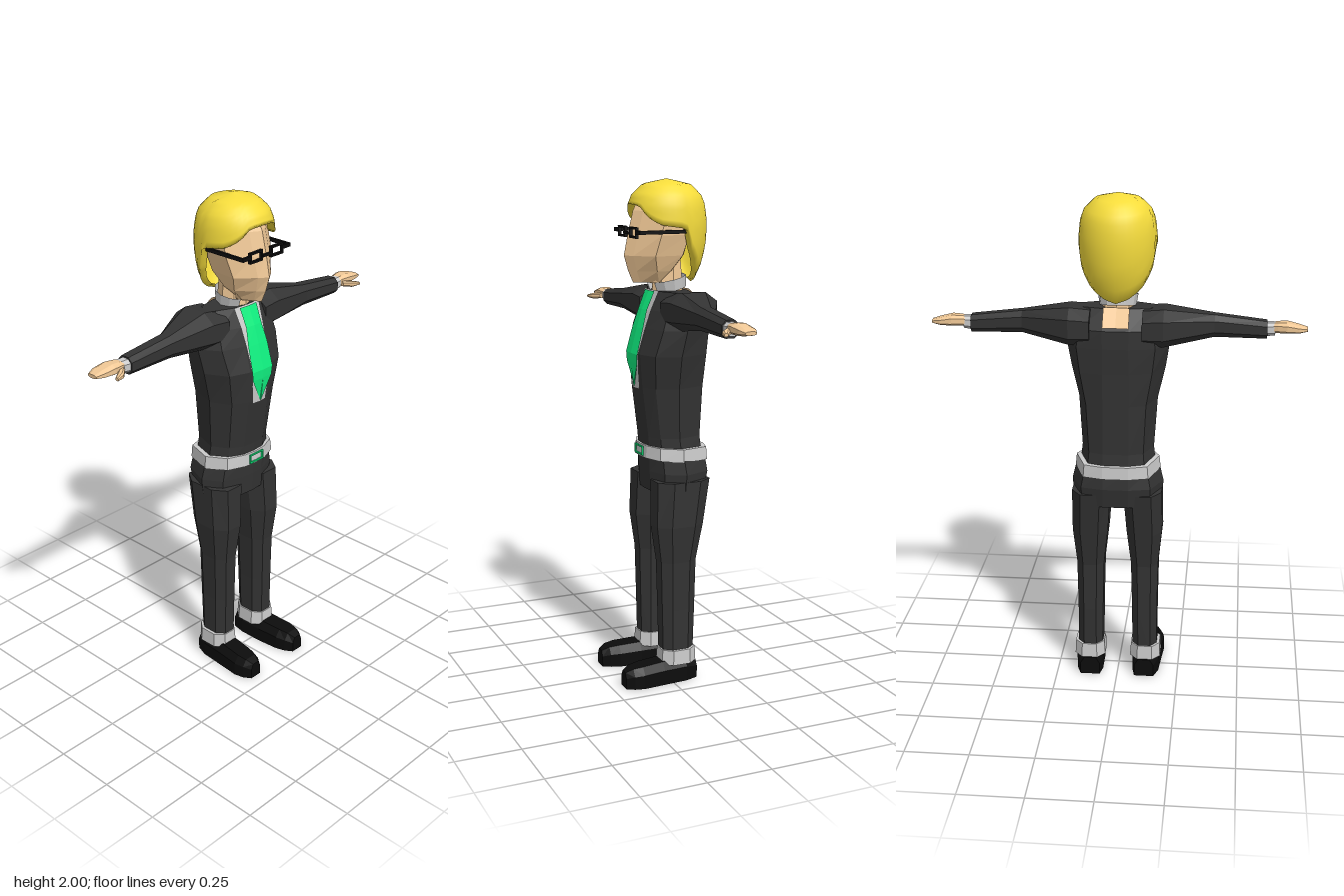
import * as THREE from 'three';

const flat = (color) => new THREE.MeshStandardMaterial({ color, flatShading: true, side: THREE.DoubleSide });
const V = (x, y, z) => new THREE.Vector3(x, y, z);

// Skin a list of equal-length closed rings and cap both ends, facing outwards
function loft(rings) {
  const n = rings[0].length, tris = [];
  for (let i = 0; i < rings.length - 1; i++) {
    for (let j = 0; j < n; j++) {
      const k = (j + 1) % n, a = rings[i], b = rings[i + 1];
      tris.push([a[j], a[k], b[k]], [a[j], b[k], b[j]]);
    }
  }
  const first = rings[0], last = rings[rings.length - 1];
  for (let j = 1; j < n - 1; j++) {
    tris.push([first[0], first[j + 1], first[j]], [last[0], last[j], last[j + 1]]);
  }
  const volume = tris.reduce((s, [a, b, c]) => s + a.dot(b.clone().cross(c)), 0);
  if (volume < 0) tris.forEach((t) => t.reverse());
  const geo = new THREE.BufferGeometry().setFromPoints(tris.flat());
  geo.computeVertexNormals();
  return geo;
}

// Left-right symmetric ring; half runs from front centre to the back
function symRing(half, y, tilt = 0) {
  const pts = half.map(([x, z]) => V(x, y + tilt * z, z));
  for (const [x, z] of half.slice().reverse()) if (x > 0) pts.push(V(-x, y + tilt * z, z));
  return pts;
}

const bodyHalf = (w, zf, zb) => [[0, zf], [0.055, zf - 0.005], [0.75 * w, zf - 0.035],
  [w, (zf + zb) / 2 + 0.01], [0.75 * w, zb + 0.02], [0.05, zb]];
const headHalf = (w, zf, zb) => [[0, zf], [0.35 * w, zf - 0.025], [w, zf - 0.09],
  [0.9 * w, zb + 0.03], [0.35 * w, zb]];

// Eight-sided chamfered rectangle in a plane given by place(u, v)
function octagon(hu, hv, place, c = 0.5) {
  return [[1, c], [c, 1], [-c, 1], [-1, c], [-1, -c], [-c, -1], [c, -1], [1, -c]]
    .map(([u, v]) => place(u * hu, v * hv));
}

// Tapered limb along x: [x, yCentre, zCentre, halfHeight, halfDepth]
const alongX = (rows, s) => loft(rows.map(([x, y, z, hy, hz]) =>
  octagon(hy, hz, (u, v) => V(s * x, y + u, z + v))));

// Tapered limb along y: [y, xInner, xOuter, zFront, zBack]
const alongY = (rows, s) => loft(rows.map(([y, xi, xo, zf, zb]) =>
  octagon((xo - xi) / 2, (zf - zb) / 2, (u, v) => V(s * ((xi + xo) / 2 + u), y, (zf + zb) / 2 + v))));

// Thin symmetric front panel: [y, halfWidth, z], with a slight centre ridge
function panel(rows) {
  const pts = rows.flatMap(([y, w, z]) => [V(-w, y, z - 0.004), V(0, y, z), V(w, y, z - 0.004)]);
  const index = [];
  for (let i = 0; i < rows.length - 1; i++) {
    for (let j = 0; j < 2; j++) {
      const a = i * 3 + j;
      index.push(a, a + 3, a + 1, a + 1, a + 3, a + 4);
    }
  }
  const geo = new THREE.BufferGeometry().setFromPoints(pts);
  geo.setIndex(index);
  geo.computeVertexNormals();
  return geo;
}

// Rectangular frame with a hole
function frame(w, h, t, depth) {
  const rect = (Type, a, b) => new Type([[-a, -b], [a, -b], [a, b], [-a, b]].map(([x, y]) => new THREE.Vector2(x, y)));
  const shape = rect(THREE.Shape, w / 2, h / 2);
  shape.holes.push(rect(THREE.Path, w / 2 - t, h / 2 - t));
  return new THREE.ExtrudeGeometry(shape, { depth, bevelEnabled: false });
}

// Linear lookup in a table of [key, value], keys rising
function lookup(table, k) {
  let i = 1;
  while (i < table.length - 1 && table[i][0] < k) i++;
  const [a, b] = [table[i - 1], table[i]];
  return THREE.MathUtils.mapLinear(THREE.MathUtils.clamp(k, a[0], b[0]), a[0], b[0], a[1], b[1]);
}

// Smooth shell of hair: high fringe in front, hanging to the nape behind
function hairGeometry() {
  const rim = [[0, 1.905], [25, 1.9], [40, 1.86], [60, 1.83], [98, 1.815], [108, 1.73], [130, 1.65], [155, 1.615], [180, 1.6]];
  const girth = [[1.6, 0.65], [1.68, 0.88], [1.75, 0.97], [1.83, 1], [1.9, 0.95], [1.94, 0.85], [1.98, 0.58], [2, 0]];
  const cols = 40, rows = 12, pts = [], index = [];
  for (let i = 0; i <= rows + 1; i++) {
    for (let j = 0; j < cols; j++) {
      const a = (j / cols) * Math.PI * 2, deg = (a * 180) / Math.PI;
      const low = lookup(rim, deg > 180 ? 360 - deg : deg);
      const lip = i > rows;
      const y = lip ? low + 0.015 : 2 - (2 - low) * Math.pow(i / rows, 1.6);
      const r = lookup(girth, y) * (lip ? 0.8 : 1);
      pts.push(V(0.15 * r * Math.sin(a), y, -0.04 + 0.16 * r * Math.cos(a)));
      if (i <= rows) {
        const p = i * cols + j, q = i * cols + ((j + 1) % cols);
        index.push(p, p + cols, q, q, p + cols, q + cols);
      }
    }
  }
  const geo = new THREE.BufferGeometry().setFromPoints(pts);
  geo.setIndex(index);
  geo.computeVertexNormals();
  return geo;
}

export function createModel() {
  const model = new THREE.Group();
  const suit = flat(0x333333), black = flat(0x0c0c0c), skin = flat(0xf0c896), grey = flat(0xcccccc), green = flat(0x10f080);
  const hairMat = new THREE.MeshStandardMaterial({ color: 0xf5dc3c, side: THREE.DoubleSide });
  const add = (name, geo, mat, x = 0, y = 0, z = 0) => {
    const mesh = new THREE.Mesh(geo, mat);
    mesh.name = name;
    mesh.position.set(x, y, z);
    model.add(mesh);
    return mesh;
  };
  const stack = (half, rows, tilt) => loft(rows.map(([y, w, zf, zb]) => symRing(half(w, zf, zb), y, tilt)));

  // Jacket, trousers top and belt
  add('jacket', stack(bodyHalf, [[0.93, 0.15, 0.06, -0.165], [1.0, 0.142, 0.065, -0.158], [1.2, 0.155, 0.09, -0.165],
    [1.33, 0.185, 0.1, -0.17], [1.43, 0.2, 0.072, -0.175], [1.5, 0.19, 0.05, -0.175], [1.572, 0.17, 0.02, -0.11]]), suit);
  add('trouserTop', stack(bodyHalf, [[0.78, 0.178, 0.055, -0.165], [0.86, 0.182, 0.06, -0.18], [0.93, 0.165, 0.062, -0.172]]), suit);
  add('belt', stack(bodyHalf, [[0.912, 0.17, 0.076, -0.182], [0.962, 0.165, 0.072, -0.18]], 0.04), grey);
  add('buckle', frame(0.075, 0.038, 0.006, 0.006), green, 0, 0.941, 0.074);

  // Shirt front and tie
  add('shirtFront', panel([[1.575, 0.068, 0.025], [1.5, 0.06, 0.055], [1.43, 0.055, 0.077], [1.33, 0.05, 0.105], [1.19, 0.035, 0.094]]), grey);
  add('tie', panel([[1.572, 0.045, 0.034], [1.5, 0.042, 0.064], [1.43, 0.052, 0.085], [1.33, 0.056, 0.111], [1.295, 0.052, 0.11], [1.2, 0.002, 0.1]]), green);

  // Neck, open collar and the bare patch at the nape
  add('neck', new THREE.CylinderGeometry(0.055, 0.066, 0.14, 8), skin, 0, 1.625, -0.045);
  const collar = add('collar', new THREE.CylinderGeometry(0.078, 0.07, 0.045, 10, 1, true, 0.5, Math.PI * 2 - 1), grey, 0, 1.595, -0.045);
  collar.rotation.x = 0.2;
  add('nape', panel([[1.577, 0.05, -0.112], [1.512, 0.05, -0.172]]), skin);

  // Head and hair
  add('head', stack(headHalf, [[1.605, 0.045, 0.1, 0.01], [1.65, 0.075, 0.12, -0.06], [1.71, 0.1, 0.138, -0.1],
    [1.79, 0.12, 0.122, -0.12], [1.88, 0.122, 0.1, -0.13], [1.94, 0.09, 0.07, -0.1]]), skin);
  add('hair', hairGeometry(), hairMat);
  add('glassesBridge', new THREE.BoxGeometry(0.05, 0.01, 0.01), black, 0, 1.797, 0.126);

  for (const s of [1, -1]) {
    const side = s > 0 ? 'left' : 'right';

    // Glasses
    add(side + 'LensFrame', frame(0.068, 0.042, 0.008, 0.012), black, s * 0.056, 1.8, 0.114);
    add(side + 'GlassesHinge', new THREE.BoxGeometry(0.04, 0.014, 0.012), black, s * 0.107, 1.803, 0.12);
    add(side + 'GlassesTemple', new THREE.BoxGeometry(0.01, 0.014, 0.195), black, s * 0.124, 1.803, 0.028);

    // Arm, cuff and hand
    add(side + 'Sleeve', alongX([[0.1, 1.5, -0.07, 0.068, 0.1], [0.18, 1.503, -0.075, 0.073, 0.1],
      [0.37, 1.5, -0.035, 0.043, 0.04], [0.57, 1.487, -0.035, 0.033, 0.035]], s), suit);
    add(side + 'ShirtCuff', alongX([[0.565, 1.488, -0.033, 0.026, 0.028], [0.6, 1.49, -0.033, 0.024, 0.026]], s), grey);
    add(side + 'Hand', alongX([[0.58, 1.492, -0.033, 0.018, 0.02], [0.61, 1.496, -0.035, 0.02, 0.03], [0.645, 1.497, -0.037, 0.021, 0.037],
      [0.69, 1.493, -0.04, 0.015, 0.034], [0.723, 1.491, -0.038, 0.007, 0.022]], s), skin);
    add(side + 'Thumb', alongX([[0.605, 1.487, -0.012, 0.011, 0.014], [0.635, 1.484, 0.014, 0.012, 0.016], [0.668, 1.482, 0.03, 0.006, 0.008]], s), skin);

    // Leg, turn-up and shoe
    add(side + 'TrouserLeg', alongY([[0.83, 0.025, 0.178, 0.055, -0.168], [0.65, 0.038, 0.18, 0.06, -0.138], [0.5, 0.055, 0.165, 0.04, -0.11],
      [0.3, 0.06, 0.162, 0.035, -0.105], [0.09, 0.062, 0.162, 0.03, -0.098]], s), suit);
    add(side + 'TurnUp', alongY([[0.075, 0.052, 0.177, 0.04, -0.108], [0.135, 0.056, 0.174, 0.036, -0.105]], s), grey);
    add(side + 'Shoe', loft([[-0.112, 0.112, 0.04, 0.075], [-0.06, 0.116, 0.054, 0.09], [0.04, 0.12, 0.057, 0.09],
      [0.13, 0.128, 0.056, 0.085], [0.17, 0.13, 0.045, 0.08], [0.2, 0.13, 0.026, 0.066]].map(([z, x, w, h]) =>
      [[-1, 0], [1, 0], [1, 0.65], [0.6, 1], [-0.6, 1], [-1, 0.65]].map(([u, v]) => V(s * (x + u * w), v * h, z)))), black);
  }
  return model;
}
